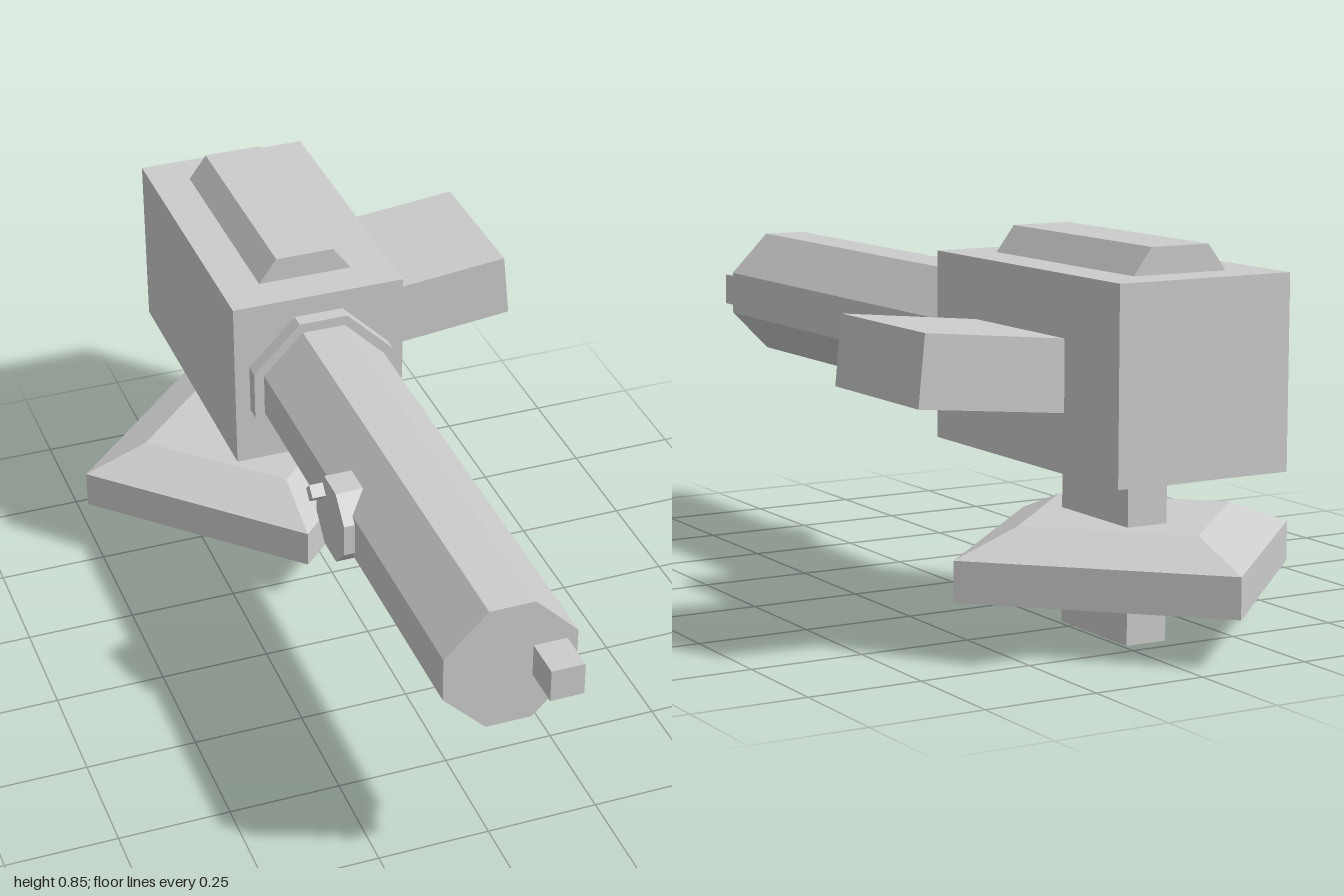
import * as THREE from 'three';

const material = new THREE.MeshStandardMaterial({ color: 0xcccccc, flatShading: true });
const shellMaterial = new THREE.MeshStandardMaterial({ color: 0xcccccc, flatShading: true, side: THREE.DoubleSide });

function add(parent, name, geometry, x, y, z, mat = material) {
  const mesh = new THREE.Mesh(geometry, mat);
  mesh.name = name;
  mesh.position.set(x, y, z);
  parent.add(mesh);
  return mesh;
}

// Box given by its extents on each axis
function addBox(parent, name, [x0, x1], [y0, y1], [z0, z1]) {
  const geometry = new THREE.BoxGeometry(x1 - x0, y1 - y0, z1 - z0);
  return add(parent, name, geometry, (x0 + x1) / 2, (y0 + y1) / 2, (z0 + z1) / 2);
}

// Prism along +z from an outline
function prism(points, depth) {
  const shape = new THREE.Shape(points.map(([x, y]) => new THREE.Vector2(x, y)));
  return new THREE.ExtrudeGeometry(shape, { depth, bevelEnabled: false });
}

// Octagon with half-width r and half-length f of the straight sides
function octagon(r, f) {
  return [[r, -f], [r, f], [f, r], [-f, r], [-r, f], [-r, -f], [-f, -r], [f, -r]];
}

export function createModel() {
  const model = new THREE.Group();
  model.name = 'turret';

  // Stand: post through a hollow, four-sided skirt
  addBox(model, 'post', [-0.106, -0.01], [0, 0.4], [-0.71, -0.455]);
  const skirt = [[0.42, 0.105], [0.42, 0.193], [0.267, 0.25], [0, 0.25]];
  add(model, 'baseSkirt',
    new THREE.LatheGeometry(skirt.map(([r, y]) => new THREE.Vector2(r, y)), 4),
    -0.09, 0, -0.582, shellMaterial);

  // Housing with a raised, bevelled cover
  addBox(model, 'housing', [-0.234, 0.171], [0.385, 0.79], [-0.95, -0.235]);
  add(model, 'topCover',
    prism([[-0.11, 0], [0.11, 0], [0.068, 0.056], [-0.068, 0.056]], 0.53),
    -0.032, 0.79, -0.857);

  // Side box, tilted slightly upwards
  const tilt = 0.1;
  const sideBox = add(model, 'sideBox', new THREE.BoxGeometry(0.4, 0.15, 0.35),
    0.4975 - 0.2 * Math.cos(tilt), 0.6175 - 0.2 * Math.sin(tilt), -0.575);
  sideBox.rotation.z = tilt;

  // Barrel, collar and muzzle
  add(model, 'collar', prism(octagon(0.167, 0.057), 0.045), -0.032, 0.577, -0.245);
  add(model, 'barrel', prism(octagon(0.144, 0.05), 1.13), -0.032, 0.577, -0.22);
  addBox(model, 'muzzlePeg', [0.016, 0.089], [0.54, 0.613], [0.88, 1]);

  // Dial on the right of the barrel with a small pin
  const dial = add(model, 'dial', prism(octagon(0.0875, 0.036), 0.1), -0.1, 0.577, 0.313);
  dial.rotation.y = -Math.PI / 2;
  const pin = add(model, 'dialPin', new THREE.CylinderGeometry(0.021, 0.021, 0.05, 4), -0.205, 0.62, 0.266);
  pin.rotation.z = Math.PI / 2;

  return model;
}
